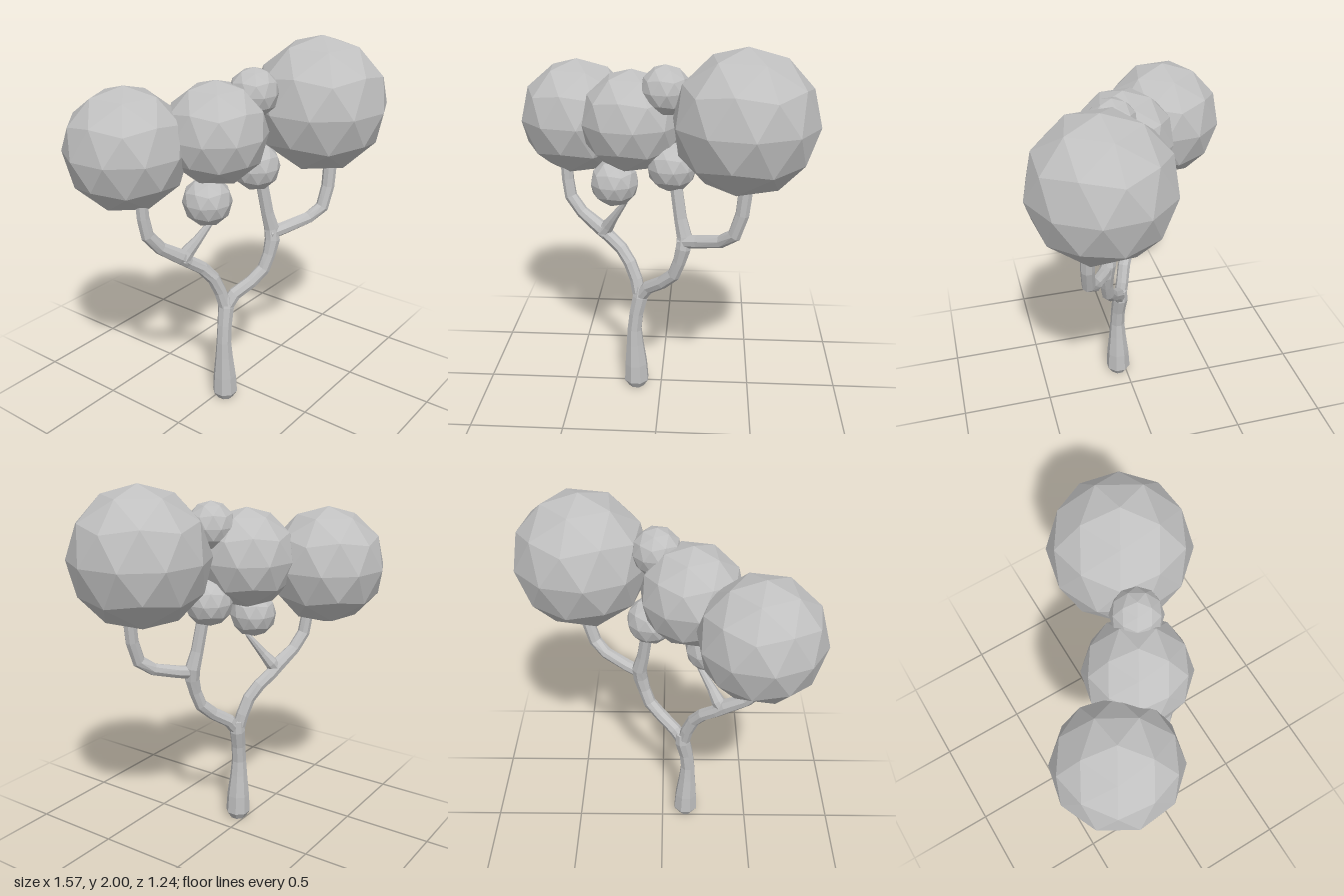
import * as THREE from 'three';

const SIDES = 8;

// Faceted limb swept through [x, y, z, radius] rings, capped at both ends
function limbGeometry(rings) {
  const centres = rings.map(([x, y, z]) => new THREE.Vector3(x, y, z));
  const position = [];
  const index = [];
  const ref = new THREE.Vector3(0, 0, 1);
  rings.forEach((ring, i) => {
    const before = centres[Math.max(i - 1, 0)];
    const after = centres[Math.min(i + 1, centres.length - 1)];
    const t = after.clone().sub(before).normalize();
    const u = new THREE.Vector3().crossVectors(t, ref).normalize();
    const v = new THREE.Vector3().crossVectors(t, u);
    for (let k = 0; k < SIDES; k++) {
      const a = ((k + 0.5) / SIDES) * Math.PI * 2;
      const p = centres[i].clone()
        .addScaledVector(u, Math.cos(a) * ring[3])
        .addScaledVector(v, Math.sin(a) * ring[3]);
      position.push(p.x, p.y, p.z);
    }
  });
  for (let i = 0; i < rings.length - 1; i++) {
    for (let k = 0; k < SIDES; k++) {
      const a = i * SIDES + k;
      const b = i * SIDES + ((k + 1) % SIDES);
      index.push(a, b, a + SIDES, b, b + SIDES, a + SIDES);
    }
  }
  const last = (rings.length - 1) * SIDES;
  for (let k = 1; k < SIDES - 1; k++) {
    index.push(0, k + 1, k, last, last + k, last + k + 1);
  }
  const geometry = new THREE.BufferGeometry();
  geometry.setAttribute('position', new THREE.Float32BufferAttribute(position, 3));
  geometry.setIndex(index);
  const flat = geometry.toNonIndexed();
  flat.computeVertexNormals();
  return flat;
}

export function createModel() {
  const tree = new THREE.Group();
  tree.name = 'tree';
  const grey = new THREE.MeshStandardMaterial({ color: 0xc0c0c0, flatShading: true });
  grey.name = 'plain grey';

  const add = (name, geometry) => {
    const mesh = new THREE.Mesh(geometry, grey);
    mesh.name = name;
    tree.add(mesh);
    return mesh;
  };

  // Trunk and branches
  const limbs = {
    trunk: [
      [-0.14, 0.005, 0.045, 0.045], [-0.14, 0.045, 0.045, 0.071], [-0.142, 0.15, 0.045, 0.065],
      [-0.147, 0.28, 0.045, 0.05], [-0.149, 0.37, 0.045, 0.042], [-0.138, 0.47, 0.042, 0.041],
      [-0.116, 0.57, 0.035, 0.045], [-0.11, 0.635, 0.03, 0.034],
    ],
    rightFork: [
      [-0.125, 0.56, 0.035, 0.036], [-0.07, 0.64, 0.06, 0.037], [0.01, 0.7, 0.115, 0.036],
      [0.075, 0.765, 0.15, 0.036], [0.105, 0.85, 0.165, 0.036], [0.125, 0.93, 0.17, 0.042],
      [0.13, 0.995, 0.16, 0.042], [0.108, 1.09, 0.145, 0.035], [0.085, 1.25, 0.125, 0.034],
    ],
    rightOuterBranch: [
      [0.11, 0.965, 0.16, 0.036], [0.2, 0.985, 0.205, 0.035], [0.32, 1.02, 0.275, 0.034],
      [0.385, 1.075, 0.32, 0.036], [0.42, 1.19, 0.33, 0.036], [0.435, 1.34, 0.33, 0.037],
    ],
    leftFork: [
      [-0.12, 0.57, 0.035, 0.037], [-0.14, 0.67, 0.015, 0.036], [-0.175, 0.76, -0.005, 0.036],
      [-0.225, 0.83, -0.04, 0.036], [-0.295, 0.885, -0.075, 0.036], [-0.345, 0.93, -0.09, 0.042],
      [-0.45, 1.005, -0.13, 0.035], [-0.515, 1.09, -0.155, 0.035], [-0.53, 1.19, -0.165, 0.034],
      [-0.535, 1.32, -0.17, 0.034],
    ],
    leftInnerBranch: [
      [-0.335, 0.9, -0.085, 0.038], [-0.3, 0.95, -0.07, 0.037], [-0.265, 1.01, -0.035, 0.026],
      [-0.19, 1.13, 0.02, 0.013],
    ],
  };
  for (const [name, rings] of Object.entries(limbs)) add(name, limbGeometry(rings));

  // Foliage balls: [name, x, y, z, radius]
  const balls = [
    ['leftFoliage', -0.48, 1.51, -0.305, 0.32],
    ['middleFoliage', -0.152, 1.57, 0.003, 0.27],
    ['rightFoliage', 0.423, 1.637, 0.253, 0.364],
    ['topFoliage', 0.027, 1.755, 0.105, 0.13],
    ['rightInnerFoliage', 0.06, 1.357, 0.1, 0.13],
    ['leftInnerFoliage', -0.248, 1.237, 0.02, 0.13],
  ];
  for (const [name, x, y, z, radius] of balls) {
    const geometry = new THREE.IcosahedronGeometry(radius, 1);
    geometry.rotateZ(-Math.atan(2 / (1 + Math.sqrt(5)))); // one corner points straight up
    geometry.rotateY(0.1);
    add(name, geometry).position.set(x, y, z);
  }
  return tree;
}
